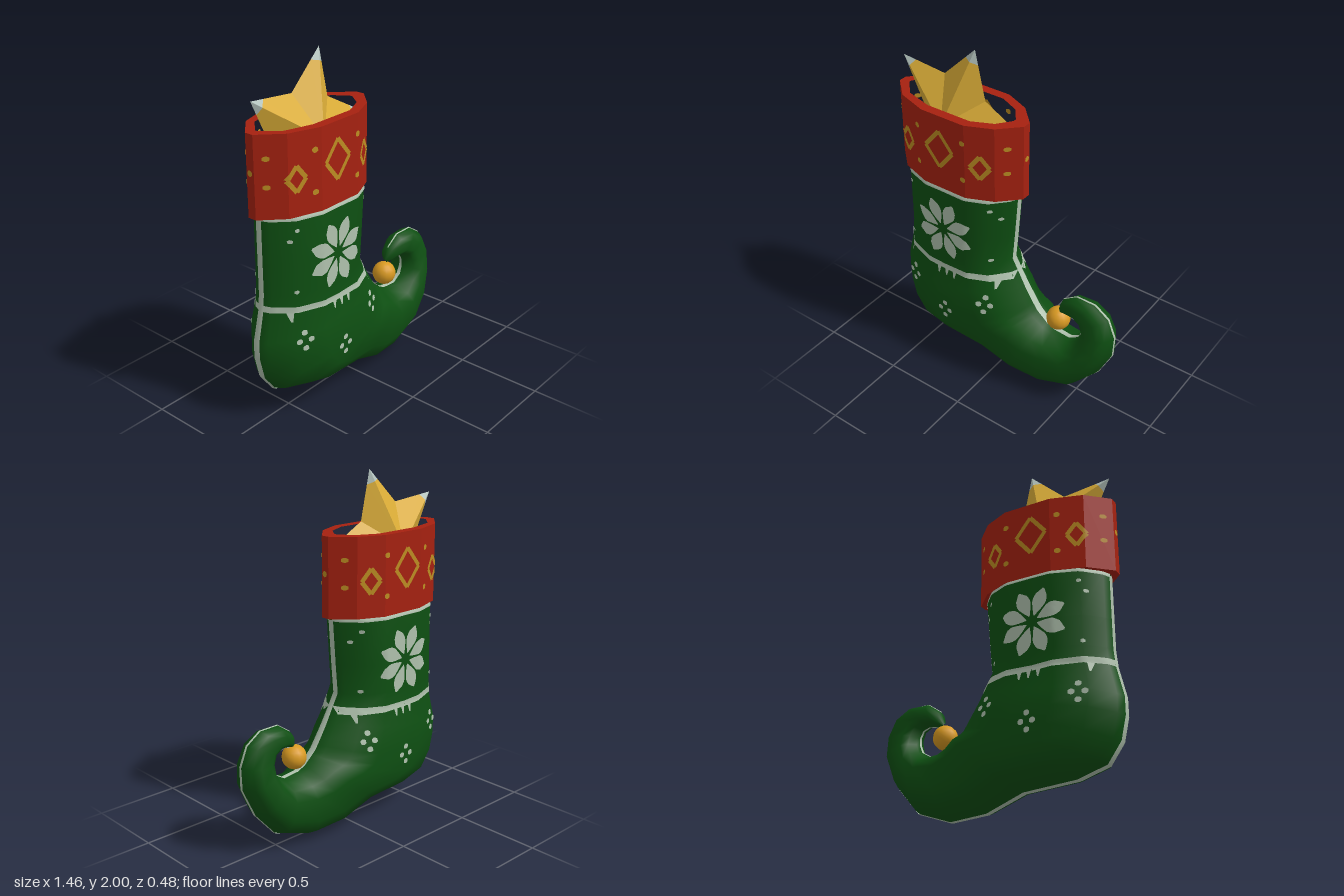
import * as THREE from 'three';
import { mergeGeometries } from 'three/addons/utils/BufferGeometryUtils.js';

const mat = (name, color, side = THREE.FrontSide) => {
  const m = new THREE.MeshStandardMaterial({ color, side });
  m.name = name;
  return m;
};

// Stocking sections: heel/sole point, instep point, half width
const sections = [
  [-.67, 1.26, .07, 1.26, .18], [-.68, 1.21, .08, 1.21, .2], [-.68, .95, .06, .95, .2],
  [-.68, .78, .045, .78, .2], [-.69, .68, .09, .70, .2], [-.73, .51, .135, .62, .222],
  [-.73, .41, .18, .55, .234], [-.70, .28, .20, .52, .236], [-.62, .17, .22, .49, .236],
  [-.45, .12, .24, .47, .23], [-.14, .10, .26, .45, .22], [.08, .02, .29, .42, .197],
  [.30, .005, .34, .395, .17], [.51, .08, .44, .385, .152], [.64, .23, .50, .42, .135],
  [.72, .40, .52, .47, .11], [.725, .53, .52, .51, .09], [.68, .64, .50, .55, .078],
  [.59, .70, .46, .565, .07], [.47, .70, .42, .56, .06], [.385, .64, .385, .55, .04],
  [.36, .57, .365, .55, .008],
];
// Half of a section: fraction from sole to instep, fraction of the half width
const half = [[0, 0], [.03, .27], [.15, .74], [.35, 1], [.7, 1], [.86, .74], [.97, .27], [1, 0]];
const ring = [...half, ...half.slice(1, -1).reverse().map(([t, f]) => [t, -f])];

function indexed(pos, index) {
  const g = new THREE.BufferGeometry();
  g.setAttribute('position', new THREE.Float32BufferAttribute(pos, 3));
  g.setIndex(index);
  g.computeVertexNormals();
  return g;
}

function bootGeometry() {
  const pos = [], index = [], n = ring.length;
  sections.forEach(([ax, ay, bx, by, w], i) => {
    ring.forEach(([t, f], k) => {
      pos.push(ax + (bx - ax) * t, ay + (by - ay) * t, w * f);
      if (i === 0) return;
      const k1 = (k + 1) % n, up = (i - 1) * n, lo = i * n;
      index.push(lo + k, lo + k1, up + k1, lo + k, up + k1, up + k);
    });
  });
  return indexed(pos, index);
}

// Narrow ribbon along the heel (end 0) or instep (end 1) line of the boot
function seamGeometry(end) {
  const pos = [], index = [];
  sections.slice(1, -1).forEach(([ax, ay, bx, by, w], i) => {
    const len = Math.hypot(bx - ax, by - ay), out = (end ? 1 : -1) * .005 / len;
    [-1, 0, 1].forEach((s) => {
      const inset = s ? .0018 / w : 0;          // stays just above the sloping sides
      const t = (end ? 1 - inset : inset) + out;
      pos.push(ax + (bx - ax) * t, ay + (by - ay) * t, s * w * .09);
    });
    if (i === 0) return;
    for (let k = 0; k < 2; k++) {
      const u = (i - 1) * 3 + k, l = i * 3 + k;
      const tris = [l, l + 1, u + 1, l, u + 1, u];
      index.push(...(end ? tris.reverse() : tris));
    }
  });
  return indexed(pos, index);
}

// Thin painted strips laid over the front and back of a mesh
function painter(target) {
  const ray = new THREE.Raycaster(), dir = new THREE.Vector3(0, 0, -1), parts = [];
  const depth = (x, y) => {
    ray.set(new THREE.Vector3(x, y, 1), dir);
    const hit = ray.intersectObject(target)[0];
    return (hit ? hit.point.z : 0) + .006;
  };
  const streak = (x0, y0, x1, y1, widths) => {
    const dx = x1 - x0, dy = y1 - y0, len = Math.hypot(dx, dy);
    const nu = Math.max(4, Math.ceil(len / .02)), nv = 4;
    for (const s of [1, -1]) {
      const pos = [], index = [];
      for (let i = 0; i <= nu; i++) {
        const u = i / nu, q = u * (widths.length - 1), a = Math.min(Math.floor(q), widths.length - 2);
        const w = THREE.MathUtils.lerp(widths[a], widths[a + 1], q - a);
        for (let j = 0; j <= nv; j++) {
          const o = (j / nv - .5) * w / len, x = x0 + dx * u - dy * o, y = y0 + dy * u + dx * o;
          pos.push(x, y, s * depth(x, y));
          if (i === 0 || j === 0) continue;
          const c = i * (nv + 1) + j, p = c - nv - 1;
          const tris = [p - 1, c - 1, c, p - 1, c, p];
          index.push(...(s > 0 ? tris : tris.reverse()));
        }
      }
      parts.push(indexed(pos, index));
    }
  };
  const dot = (x, y, r) => streak(x - r, y, x + r, y, [r, 2 * r, 2 * r, r]);
  return { streak, dot, build: () => mergeGeometries(parts) };
}

// Five-pointed faceted star, returned as [body, tips]
function starGeometries(cx, cy, R, r, depth, turn) {
  const body = [], tips = [];
  const at = (rad, a) => new THREE.Vector3(cx + rad * Math.cos(a), cy + rad * Math.sin(a), 0);
  for (const s of [1, -1]) {
    const C = new THREE.Vector3(cx, cy, s * depth);
    for (let i = 0; i < 5; i++) for (const e of [1, -1]) {
      const a = turn + i * Math.PI * .4;
      const T = at(R, a), I = at(r, a + e * Math.PI / 5);
      const M = C.clone().lerp(T, .84), N = I.clone().lerp(T, .7);
      const add = (list, p, q, v) => (s * e > 0 ? [p, q, v] : [p, v, q]).forEach((k) => list.push(k.x, k.y, k.z));
      add(body, C, M, N);
      add(body, C, N, I);
      add(tips, M, T, N);
    }
  }
  return [body, tips].map((p) => {
    const g = new THREE.BufferGeometry();
    g.setAttribute('position', new THREE.Float32BufferAttribute(p, 3));
    g.computeVertexNormals();
    return g;
  });
}

export function createModel() {
  const group = new THREE.Group();
  const green = mat('green knit', 0x0e4f12), red = mat('red cuff', 0xa62110);
  const white = mat('pale pattern', 0xb0c2ae, THREE.DoubleSide);
  const trim = mat('cuff gold', 0xbd8d22, THREE.DoubleSide);
  const gold = mat('star gold', 0xdcae38), pale = mat('star tip', 0xb4c4be), brass = mat('bell gold', 0xd99a22);
  const add = (name, geo, m) => {
    const mesh = new THREE.Mesh(geo, m);
    mesh.name = name;
    group.add(mesh);
    return mesh;
  };

  const boot = add('boot', bootGeometry(), green);
  add('heelSeam', seamGeometry(0), white);
  add('instepSeam', seamGeometry(1), white);

  // Cuff: hollow faceted band with a floor inside
  const outline = (pts) => [...pts, ...pts.slice().reverse().map(([x, z]) => [x, -z])]
    .map(([x, z]) => new THREE.Vector2(x, z));
  const outer = outline([[-.72, .025], [-.6, .14], [-.42, .2], [-.14, .2], [.01, .135], [.118, .025]]);
  const inner = outline([[-.665, .01], [-.58, .1], [-.42, .145], [-.14, .145], [-.02, .09], [.04, .01]]);
  const band = new THREE.Shape(outer);
  band.holes.push(new THREE.Path(inner));
  const cuff = add('cuff', new THREE.ExtrudeGeometry(band, { depth: .45, bevelEnabled: false })
    .rotateX(-Math.PI / 2).translate(0, 1.225, 0), red);
  add('lining', new THREE.ShapeGeometry(new THREE.Shape(inner)).rotateX(-Math.PI / 2).translate(0, 1.24, 0), green);

  // Knitted pattern on the boot
  const knit = painter(boot);
  knit.streak(-.678, 1.217, .078, 1.217, [.03, .02, .03]);
  knit.streak(-.685, .70, -.3, .685, [.036, .032]);
  knit.streak(-.3, .685, .08, .695, [.032, .04]);
  for (let i = 0; i < 8; i++) {
    const a = (i + .5) * Math.PI / 4, c = Math.cos(a), s = Math.sin(a);
    knit.streak(-.305 + c * .035, .95 + s * .035, -.305 + c * .195, .95 + s * .195, [.005, .05, .085, .075, .01]);
  }
  for (const [x, y] of [[-.285, .39], [-.55, .515], [-.02, .53]])
    for (const [dx, dy] of [[0, .045], [0, -.045], [-.033, 0], [.033, 0]]) knit.dot(x + dx, y + dy, .016);
  for (const x of [-.6, -.34, -.285, -.23, .02]) knit.streak(x, .68, x, .63, [.03, .008]);
  for (const [x, y] of [[-.56, 1.15], [-.59, 1.09], [-.02, 1.15], [.02, 1.09], [-.57, .8], [-.03, .8]]) knit.dot(x, y, .011);
  add('knitPattern', knit.build(), white);

  // Diamonds and dots on the cuff
  const paint = painter(cuff);
  for (const [x, y, w, h] of [[-.305, 1.475, .09, .11], [-.56, 1.43, .05, .07], [-.06, 1.43, .05, .07]])
    for (const sx of [1, -1]) for (const sy of [1, -1]) paint.streak(x + sx * w, y, x, y + sy * h, [.024, .024]);
  for (const x of [-.46, -.15]) for (const y of [1.565, 1.34]) paint.dot(x, y, .016);
  for (const x of [-.68, .06]) for (const y of [1.55, 1.4]) paint.dot(x, y, .014);
  add('cuffPattern', paint.build(), trim);
  for (const [x, turn] of [[.121, 1], [-.723, -1]])
    add('cuffEndDot', new THREE.CircleGeometry(.017, 8).rotateY(turn * Math.PI / 2).translate(x, 1.47, 0), trim);

  // Star standing in the stocking
  const [starBody, starTips] = starGeometries(-.338, 1.578, .441, .238, .145, 1.276);
  add('star', starBody, gold);
  add('starTips', starTips, pale);

  // Bell hanging from the curled toe
  add('bell', new THREE.SphereGeometry(.07, 14, 10).translate(.355, .485, 0), brass);
  return group;
}
